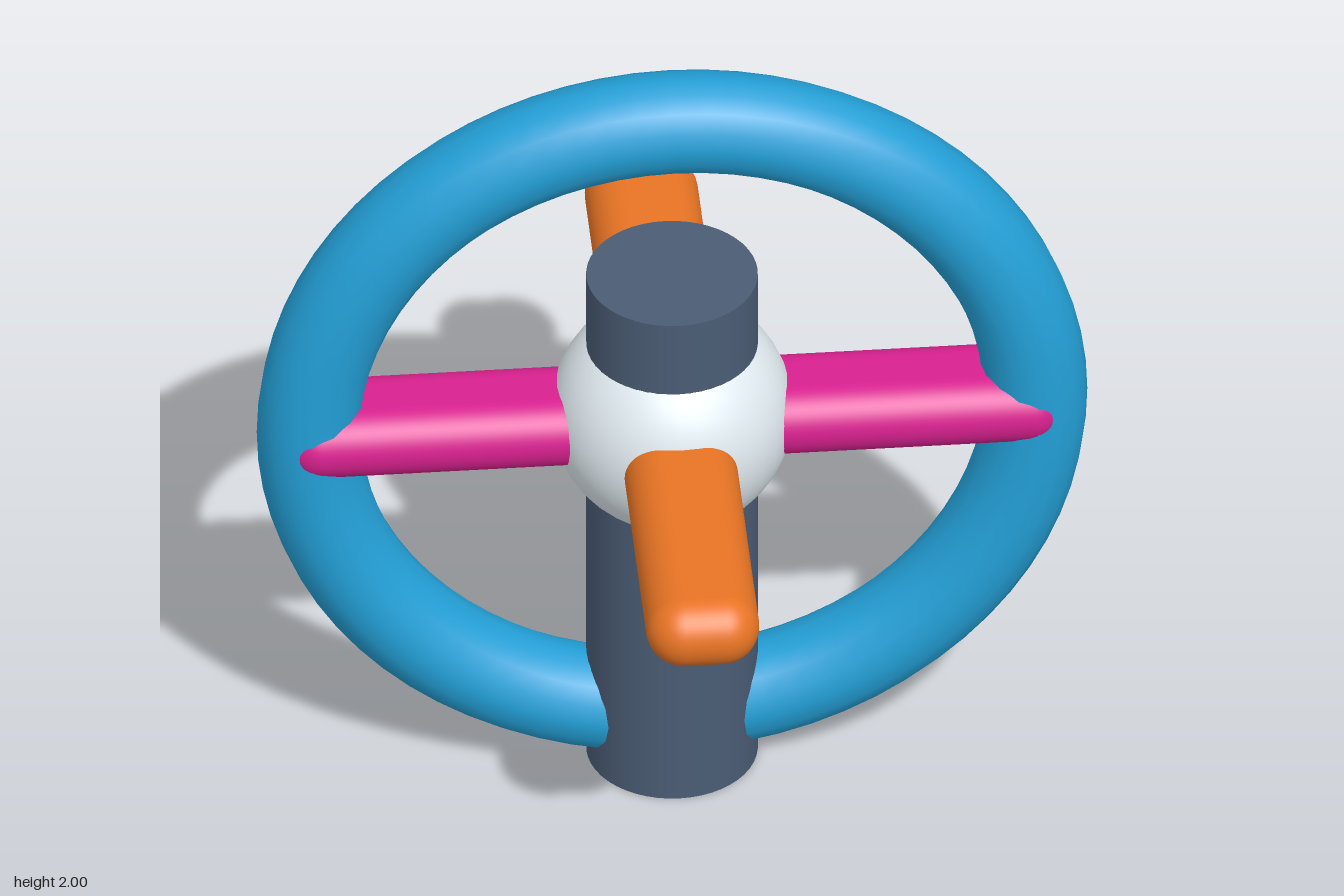
import * as THREE from 'three';
import { RoundedBoxGeometry } from 'three/addons/geometries/RoundedBoxGeometry.js';

const HUB_Y = 1.01;

function addPart(group, name, geometry, color, y) {
  const mesh = new THREE.Mesh(geometry, new THREE.MeshStandardMaterial({ color }));
  mesh.name = name;
  mesh.position.y = y;
  group.add(mesh);
  return mesh;
}

export function createModel() {
  const group = new THREE.Group();
  group.name = 'wheelOnPost';

  // Upright post, running through the hub and down to the ground
  addPart(group, 'post', new THREE.CylinderGeometry(0.204, 0.204, 1.42, 48), 0x4a5c74, 0.71);

  // Ball hub
  addPart(group, 'hub', new THREE.SphereGeometry(0.289, 40, 28), 0xdfe9ef, HUB_Y);

  // Upright ring
  addPart(group, 'ring', new THREE.TorusGeometry(0.866, 0.124, 16, 72), 0x239fd6, HUB_Y);

  // Two crossed bars with fully rounded edges
  const bar = (lengthX, lengthZ) => new RoundedBoxGeometry(lengthX, 0.18, lengthZ, 6, 0.09);
  addPart(group, 'sideBar', bar(1.87, 0.27), 0xd8218f, HUB_Y);
  addPart(group, 'frontBackBar', bar(0.27, 1.87), 0xe87424, HUB_Y);

  return group;
}
